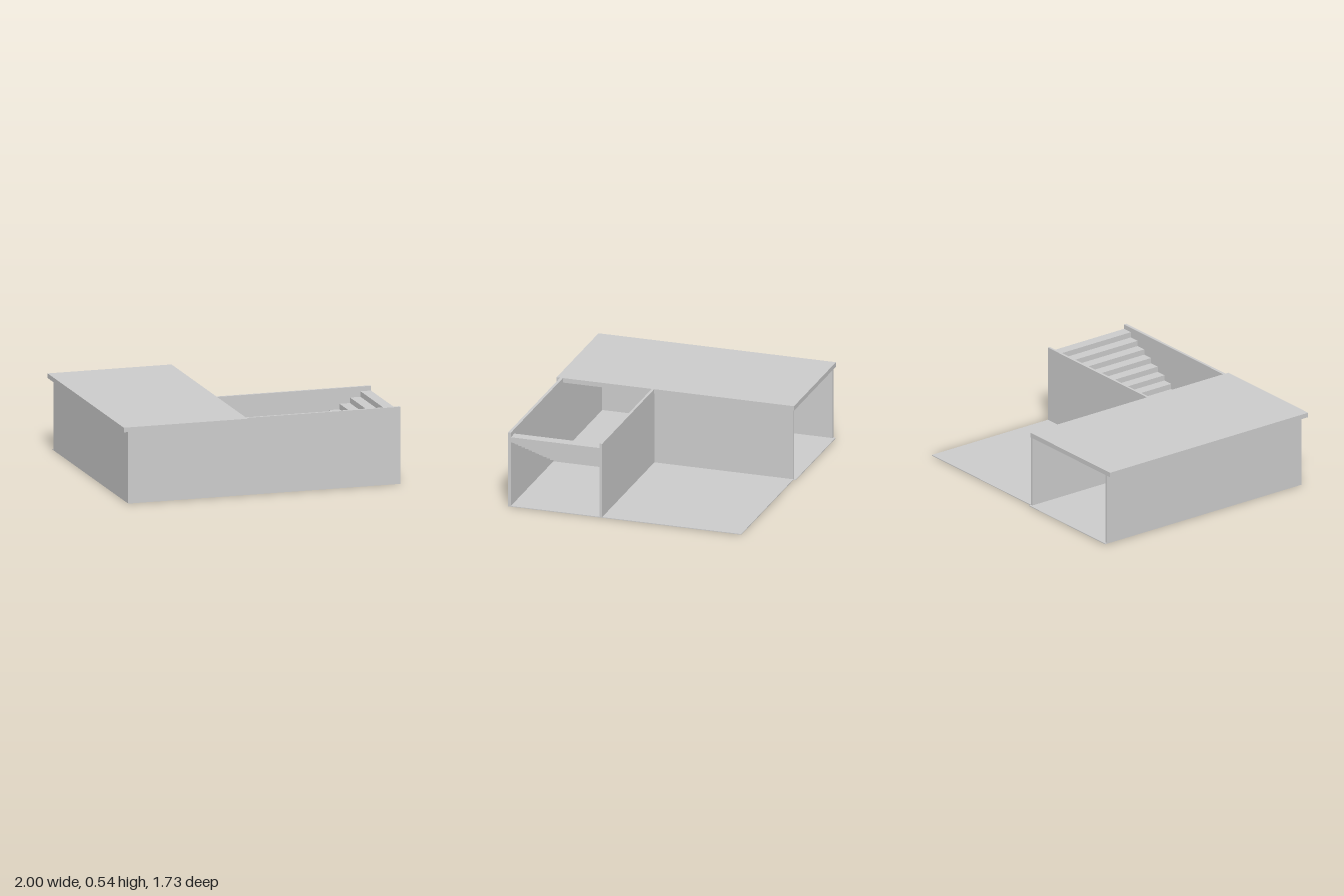
import * as THREE from 'three';

export function createModel() {
  const group = new THREE.Group();
  const material = new THREE.MeshStandardMaterial({ color: 0xcccccc, flatShading: true });

  // Box given by its lower and upper corner
  function slab(name, [x0, y0, z0], [x1, y1, z1], parent = group) {
    const mesh = new THREE.Mesh(new THREE.BoxGeometry(x1 - x0, y1 - y0, z1 - z0), material);
    mesh.position.set((x0 + x1) / 2, (y0 + y1) / 2, (z0 + z1) / 2);
    mesh.name = name;
    parent.add(mesh);
  }

  const floorTop = 0.005, roofBottom = 0.51, top = 0.543;

  // Thin floors; the one in the room reaches slightly further back
  slab('yardFloor', [-0.11, 0, -0.85], [1, floorTop, 0.84]);
  slab('roomFloor', [-0.96, 0, -0.867], [-0.11, floorTop, 0.84]);

  // Walls; the room is open at the back and towards the stairs
  slab('frontWall', [-0.96, 0, 0.82], [1, roofBottom, 0.84]);
  slab('frontParapet', [-0.11, roofBottom, 0.82], [1, top, 0.84]);
  slab('stairWall', [-0.11, floorTop, 0.158], [1, top, 0.176]);
  slab('outerWall', [-0.96, floorTop, -0.85], [-0.945, roofBottom, 0.82]);
  slab('innerWall', [-0.125, floorTop, -0.85], [-0.11, roofBottom, 0.176]);

  // Flat overhanging roof
  slab('roof', [-1, roofBottom, -0.855], [-0.108, top, 0.866]);

  // Open-backed stairs climbing towards +x
  const stairs = new THREE.Group();
  stairs.name = 'stairs';
  group.add(stairs);
  const steps = 13, run = 0.98 / steps, rise = (roofBottom - floorTop) / steps;
  for (let i = 0; i < steps; i++) {
    const x = 0.02 + i * run, y = floorTop + i * rise;
    slab('step', [x, y, 0.176], [x + run, y + rise, 0.82], stairs);
  }

  return group;
}
